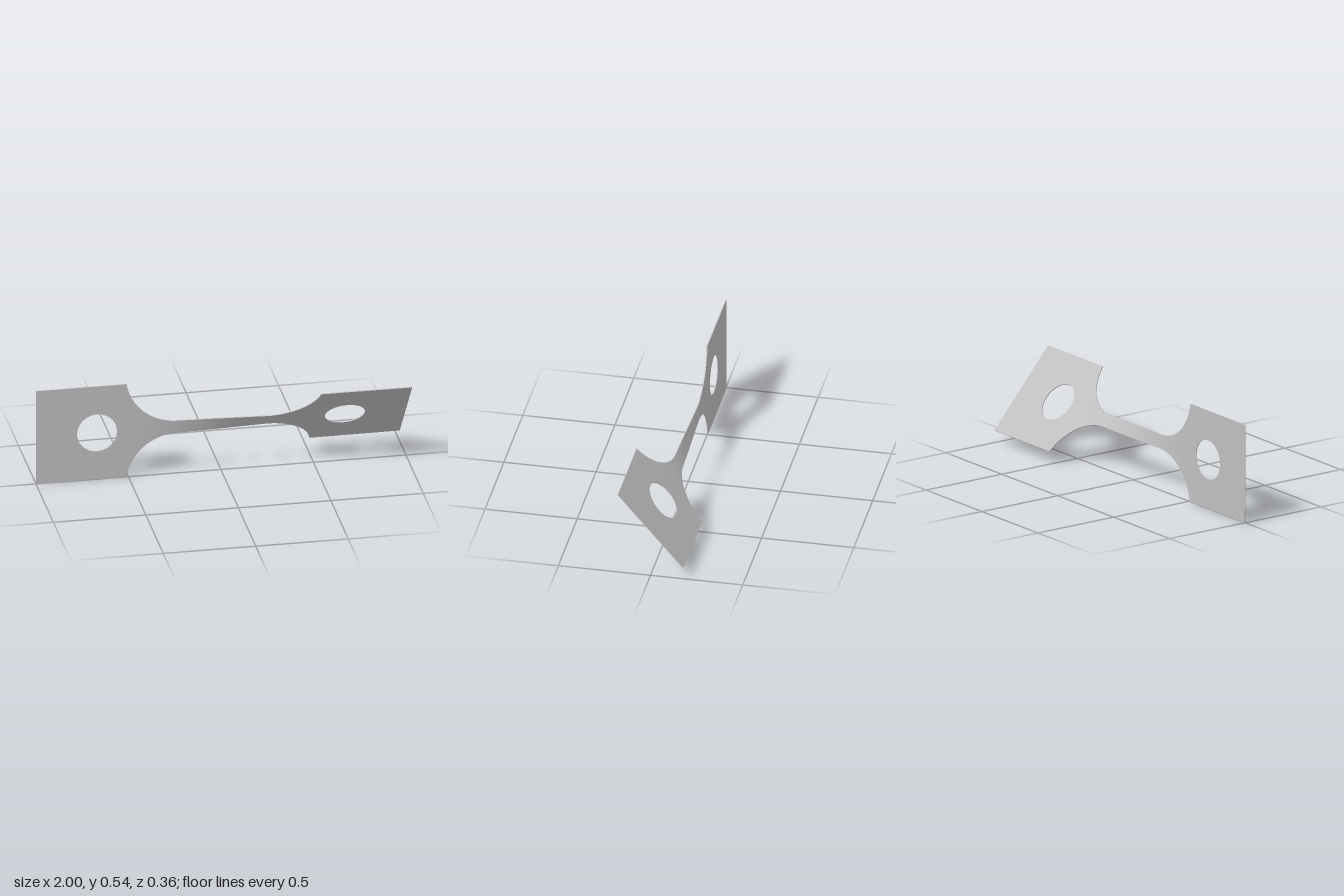
import * as THREE from 'three';
import { toCreasedNormals } from 'three/addons/utils/BufferGeometryUtils.js';

const HALF = 0.271;      // half width of the end tabs
const NECK = 0.0375;     // half width of the narrow neck
const INNER = 0.51;      // where tabs meet the fillets
const FILLET_END = 0.24; // where fillets meet the neck
const THICK = 0.005;

// Fillet radius: arc tangent to the neck, reaching the tab corner
const rise = HALF - NECK, run = INNER - FILLET_END;
const RADIUS = (run * run + rise * rise) / (2 * rise);

function halfWidth(x) {
  const d = Math.max(0, Math.abs(x) - FILLET_END);
  return NECK + RADIUS - Math.sqrt(Math.max(0, RADIUS * RADIUS - d * d));
}

// Twist about the long axis, in degrees, concentrated in the neck
function twistAngle(x) {
  const s = THREE.MathUtils.smoothstep(x, -INNER, INNER);
  return THREE.MathUtils.degToRad(0.7 + 39.6 * s + 0.6 * x);
}

function twist(geometry) {
  const p = geometry.attributes.position;
  for (let i = 0; i < p.count; i++) {
    const x = p.getX(i), y = p.getY(i), z = p.getZ(i);
    const a = twistAngle(x), c = Math.cos(a), s = Math.sin(a);
    p.setXYZ(i, x, HALF + y * c - z * s, y * s + z * c);
  }
  geometry.computeVertexNormals();
  return geometry;
}

// Square end plate with a round hole
function tabGeometry(side) {
  const cx = side * (1 + INNER) / 2, w = (1 - INNER) / 2;
  const shape = new THREE.Shape([
    new THREE.Vector2(cx - w, -HALF), new THREE.Vector2(cx + w, -HALF),
    new THREE.Vector2(cx + w, HALF), new THREE.Vector2(cx - w, HALF),
  ]);
  const hole = new THREE.Path();
  hole.absarc(side * 0.67, 0, 0.108, 0, Math.PI * 2, true);
  shape.holes.push(hole);
  const g = new THREE.ExtrudeGeometry(shape, { depth: THICK, bevelEnabled: false, curveSegments: 32 });
  g.translate(0, 0, -THICK / 2);
  return toCreasedNormals(twist(g), 0.6);
}

// Waisted, twisted strip between the plates
function neckGeometry() {
  const g = new THREE.BoxGeometry(2, 2, THICK, 96, 8, 1);
  const p = g.attributes.position;
  for (let i = 0; i < p.count; i++) {
    const x = INNER * Math.sin(p.getX(i) * Math.PI / 2);
    p.setX(i, x);
    p.setY(i, p.getY(i) * halfWidth(x));
  }
  return twist(g);
}

export function createModel() {
  const group = new THREE.Group();
  const metal = new THREE.MeshStandardMaterial({ color: 0xbfbfbf });
  metal.name = 'lightGreyMetal';

  const add = (name, geometry) => {
    const mesh = new THREE.Mesh(geometry, metal);
    mesh.name = name;
    group.add(mesh);
  };
  add('rightTab', tabGeometry(-1));
  add('twistedNeck', neckGeometry());
  add('leftTab', tabGeometry(1));
  return group;
}
